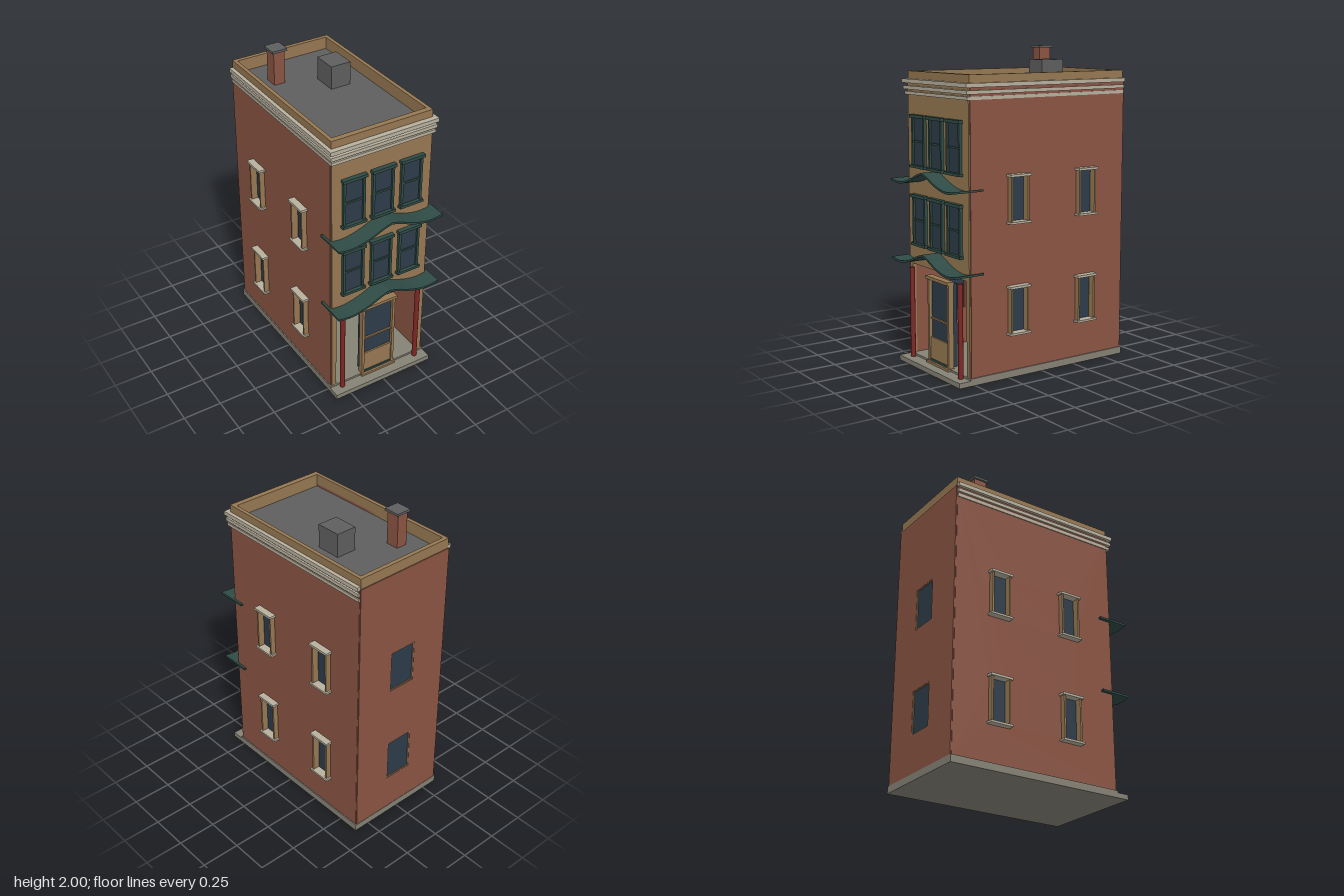
import * as THREE from 'three';

const mat = (name, color, side = THREE.FrontSide) => {
  const m = new THREE.MeshStandardMaterial({ color, side });
  m.name = name;
  return m;
};

export function createModel() {
  const brick = mat('brick', 0x8a5443);
  const tan = mat('tan stucco', 0x967852);
  const trim = mat('pale trim', 0xb8b09e);
  const teal = mat('dark green wood', 0x2f4b45);
  const glass = mat('window glass', 0x2d3b48);
  const red = mat('red columns', 0x7c2623);
  const roofGrey = mat('roof grey', 0x5e5e5e);
  const stone = mat('stone', 0x858175);

  const model = new THREE.Group();
  model.name = 'townhouse';

  const add = (parent, name, geometry, material) => {
    const mesh = new THREE.Mesh(geometry, material);
    mesh.name = name;
    parent.add(mesh);
    return mesh;
  };
  // Box given by its limits on each axis
  const box = (parent, name, material, x0, x1, y0, y1, z0, z1) => {
    const g = new THREE.BoxGeometry(x1 - x0, y1 - y0, z1 - z0);
    g.translate((x0 + x1) / 2, (y0 + y1) / 2, (z0 + z1) / 2);
    return add(parent, name, g, material);
  };
  const group = (name, parent = model) => {
    const g = new THREE.Group();
    g.name = name;
    parent.add(g);
    return g;
  };
  const rect = (Type, x0, x1, y0, y1) => {
    const p = new Type();
    p.moveTo(x0, y0);
    p.lineTo(x1, y0);
    p.lineTo(x1, y1);
    p.lineTo(x0, y1);
    p.closePath();
    return p;
  };
  // Upright wall with rectangular holes, thickness along z from 0
  const wall = (x0, x1, y0, y1, depth, holes) => {
    const s = rect(THREE.Shape, x0, x1, y0, y1);
    holes.forEach((h) => s.holes.push(rect(THREE.Path, ...h)));
    return new THREE.ExtrudeGeometry(s, { depth, bevelEnabled: false });
  };

  // Base, front step and inner floor
  box(model, 'base', stone, -0.357, 0.357, 0, 0.045, -0.645, 0.53);
  box(model, 'frontStep', stone, -0.357, 0.357, 0, 0.032, 0.53, 0.61);

  // Side walls with window holes, and their projecting window surrounds
  const sideZ = [0.187, -0.33];
  const floors = [[0.285, 0.565], [0.97, 1.245]];
  for (const s of [-1, 1]) {
    const holes = [];
    for (const z of sideZ) for (const [a, b] of floors) holes.push([-z - 0.056, -z + 0.056, a, b]);
    const w = add(model, s > 0 ? 'leftWall' : 'rightWall', wall(-0.52, 0.635, 0.045, 1.785, 0.03, holes), brick);
    w.rotation.y = Math.PI / 2;
    w.position.x = s > 0 ? 0.32 : -0.35;
    for (const z of sideZ) for (const [a, b] of floors) {
      const g = group('sideWindow');
      const lim = (d0, d1) => (s > 0 ? [d0, d1] : [-d1, -d0]);
      box(g, 'pane', glass, ...lim(0.335, 0.341), a, b, z - 0.057, z + 0.057);
      for (const e of [-1, 1]) {
        const c = z + e * 0.06;
        box(g, 'jamb', tan, ...lim(0.335, 0.384), a, b, c - 0.006, c + 0.006);
      }
      box(g, 'lintel', trim, ...lim(0.335, 0.394), b - 0.003, b + 0.012, z - 0.077, z + 0.077);
      box(g, 'sill', trim, ...lim(0.335, 0.394), a - 0.012, a + 0.001, z - 0.077, z + 0.077);
    }
  }

  // Back wall with one recessed window per floor
  const backHoles = floors.map(([a, b]) => [-0.095, 0.095, a, b]);
  add(model, 'backWall', wall(-0.347, 0.347, 0.045, 1.785, 0.03, backHoles), brick).position.z = -0.643;
  for (const [a, b] of floors) {
    const g = group('backWindow');
    box(g, 'pane', glass, -0.09, 0.09, a + 0.004, b - 0.004, -0.636, -0.63);
    add(g, 'frame', wall(-0.095, 0.095, a, b, 0.015, [[-0.088, 0.088, a + 0.006, b - 0.006]]), tan).position.z = -0.641;
  }

  // Front facade, open at street level
  const facade = new THREE.Shape();
  [[-0.344, 0.045], [-0.312, 0.045], [-0.312, 0.635], [0.312, 0.635], [0.312, 0.045],
    [0.344, 0.045], [0.344, 1.79], [-0.344, 1.79]].forEach(([x, y], i) =>
    i ? facade.lineTo(x, y) : facade.moveTo(x, y));
  const front = add(model, 'frontFacade', new THREE.ExtrudeGeometry(facade, { depth: 0.025, bevelEnabled: false }), tan);
  front.position.z = 0.504;
  box(model, 'shopCeiling', tan, -0.32, 0.32, 0.637, 0.65, -0.615, 0.505);

  // Front windows
  for (const [a, b] of [[0.765, 1.085], [1.258, 1.582]]) {
    const mid = (a + b) / 2;
    for (const x of [-0.2, 0, 0.2]) {
      const g = group('frontWindow');
      box(g, 'pane', glass, x - 0.064, x + 0.064, a, b, 0.528, 0.536);
      for (const e of [-1, 1]) {
        const c = x + e * 0.067;
        box(g, 'jamb', teal, c - 0.008, c + 0.008, a, b, 0.528, 0.548);
      }
      box(g, 'meetingRail', teal, x - 0.06, x + 0.06, mid - 0.006, mid + 0.006, 0.528, 0.543);
      box(g, 'lintel', teal, x - 0.083, x + 0.083, b - 0.017, b + 0.003, 0.528, 0.558);
      box(g, 'sill', teal, x - 0.083, x + 0.083, a - 0.003, a + 0.014, 0.528, 0.558);
    }
  }

  // Curved awnings: a half curve mirrored about the central peak
  const half = new THREE.SplineCurve([[0, 0.078], [0.06, 0.06], [0.14, 0.026], [0.22, 0.003], [0.29, -0.004], [0.367, 0.006]]
    .map(([x, y]) => new THREE.Vector2(x, y))).getPoints(16);
  const top = [...half.slice(1).reverse().map((p) => new THREE.Vector2(-p.x, p.y)), ...half];
  const under = top.map((p) => new THREE.Vector2(p.x, p.y - 0.013)).reverse();
  const awningGeo = new THREE.ExtrudeGeometry(new THREE.Shape([...top, ...under]), { depth: 0.205, bevelEnabled: false });
  for (const y of [0.677, 1.178]) add(model, 'awning', awningGeo, teal).position.set(0, y, 0.44);

  // Columns beside the door
  for (const x of [-0.28, 0.28]) {
    const shaft = add(model, 'column', new THREE.CylinderGeometry(0.016, 0.016, 0.585, 12), red);
    shaft.position.set(x, 0.325, 0.552);
  }

  // Door standing in the opening
  const door = group('frontDoor');
  box(door, 'doorGlass', glass, -0.108, 0.108, 0.05, 0.575, 0.465, 0.515);
  box(door, 'lowerPanel', tan, -0.108, 0.108, 0.045, 0.2, 0.51, 0.526);
  box(door, 'middleRail', tan, -0.108, 0.108, 0.318, 0.328, 0.51, 0.526);
  for (const s of [-1, 1]) box(door, 'jamb', tan, s * 0.113 - 0.009, s * 0.113 + 0.009, 0.04, 0.585, 0.5, 0.536);
  box(door, 'header', tan, -0.128, 0.128, 0.572, 0.592, 0.5, 0.548);
  box(door, 'threshold', tan, -0.128, 0.128, 0.03, 0.046, 0.5, 0.548);
  box(door, 'kickPlate', teal, -0.1, 0.1, 0.046, 0.06, 0.526, 0.533);

  // Cornice bands along the front and sides
  for (const [a, b, out] of [[1.705, 1.725, 0.356], [1.738, 1.76, 0.362], [1.777, 1.802, 0.368]]) {
    const g = group('corniceBand');
    box(g, 'frontBand', trim, -out, out, a, b, 0.52, out + 0.19);
    for (const s of [-1, 1]) {
      const c = s * (out - 0.012);
      box(g, 'sideBand', trim, c - 0.012, c + 0.012, a, b, -0.635, 0.52);
    }
  }

  // Roof deck and parapet
  box(model, 'roofDeck', roofGrey, -0.325, 0.325, 1.74, 1.77, -0.62, 0.51);
  const ring = rect(THREE.Shape, -0.344, 0.344, -0.524, 0.637);
  ring.holes.push(rect(THREE.Path, -0.32, 0.32, -0.488, 0.61));
  const parapet = add(model, 'parapet', new THREE.ExtrudeGeometry(ring, { depth: 0.1, bevelEnabled: false }), tan);
  parapet.rotation.x = -Math.PI / 2;
  parapet.position.y = 1.75;

  // Chimney and roof vent
  box(model, 'chimney', brick, -0.212, -0.138, 1.765, 1.988, -0.428, -0.342);
  box(model, 'chimneyCap', roofGrey, -0.225, -0.123, 1.985, 2, -0.438, -0.332);
  box(model, 'roofVent', roofGrey, 0.055, 0.19, 1.765, 1.92, -0.278, -0.115);

  return model;
}
